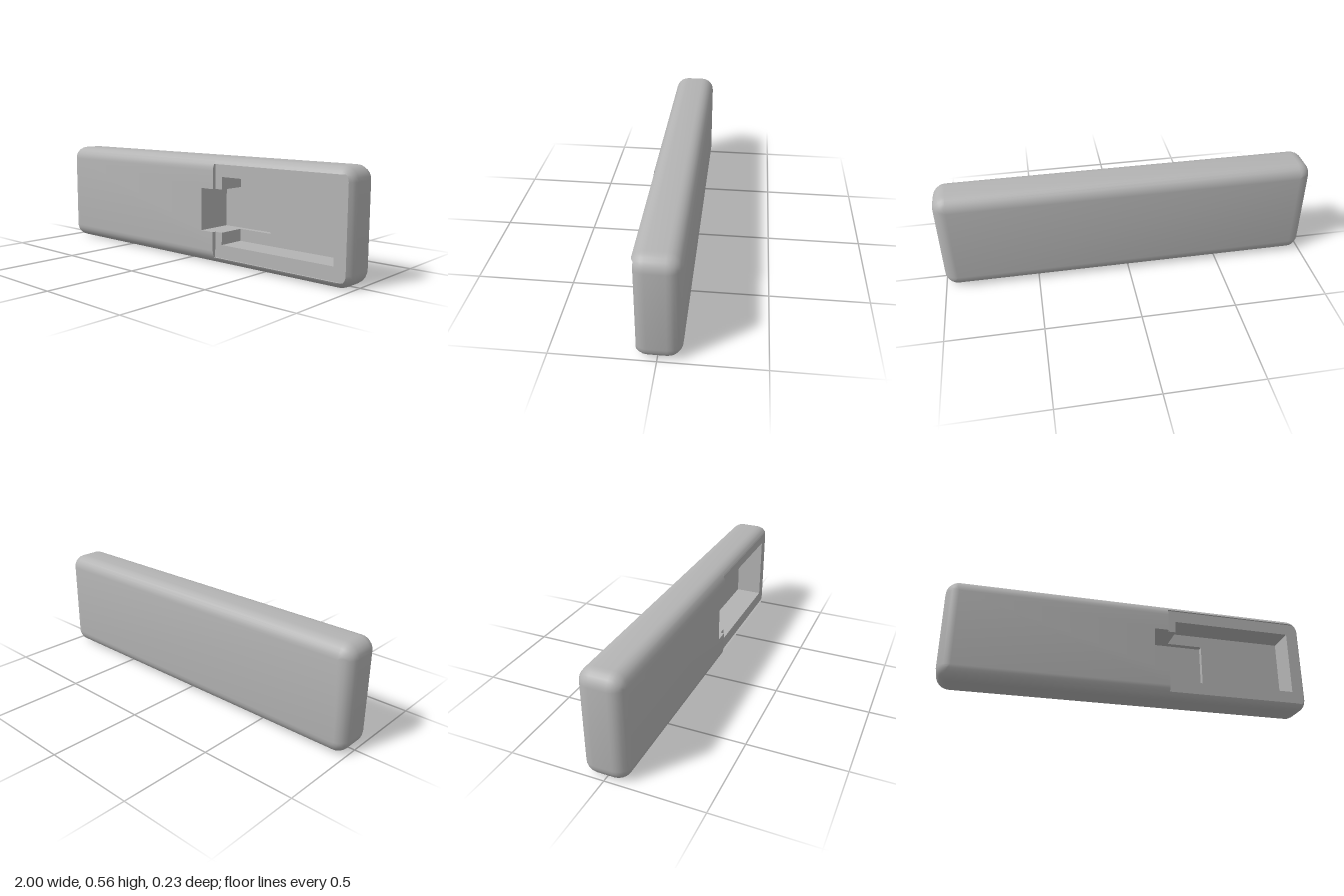
import * as THREE from 'three';
import { mergeGeometries, toCreasedNormals } from 'three/addons/utils/BufferGeometryUtils.js';

// Overall size: 2 x 0.56 x 0.23 with rounded edges
const R = 0.07, CX = 0.93, Y0 = 0.07, Y1 = 0.49, CZ = 0.045;
const STEP_X = 0.2, STEP_Z = 0.095, LIP = 0.035;       // shallow recess at the right end
const POCKET_Z = -0.055, NOTCH_Z = -0.087;             // floors of the two pockets
const T_STEP = Math.asin((STEP_Z - CZ) / R), T_LIP = Math.acos(LIP / R);

// Points of an arc in the xy plane, angles in radians
function arc(cx, cy, r, from, to, n = 6) {
  return Array.from({ length: n + 1 }, (_, i) => {
    const a = from + (to - from) * i / n;
    return [cx + r * Math.cos(a), cy + r * Math.sin(a)];
  });
}

// Join counter-clockwise outlines [points, z] into a wall
function loft(levels) {
  const pos = [];
  for (let k = 0; k < levels.length - 1; k++) {
    const [a, za] = levels[k], [b, zb] = levels[k + 1];
    for (let i = 0; i < a.length; i++) {
      const j = (i + 1) % a.length;
      const p = [...a[i], za], q = [...a[j], za], s = [...b[j], zb], t = [...b[i], zb];
      pos.push(...p, ...q, ...s, ...p, ...s, ...t);
    }
  }
  const g = new THREE.BufferGeometry();
  g.setAttribute('position', new THREE.Float32BufferAttribute(pos, 3));
  return g;
}

// Flat face looking towards +z
function face(points, z) {
  const g = new THREE.ShapeGeometry(new THREE.Shape(points.map(p => new THREE.Vector2(...p))));
  g.translate(0, 0, z);
  const flat = g.toNonIndexed();
  flat.deleteAttribute('uv');
  flat.deleteAttribute('normal');
  return flat;
}

// Levels along the edge rounding, between two angles
function levels(outline, from, to, n) {
  return Array.from({ length: n + 1 }, (_, i) => {
    const t = from + (to - from) * i / n;
    return [outline(R * Math.cos(t)), CZ + R * Math.sin(t)];
  });
}

const rect = (x0, y0, x1, y1) => [[x0, y0], [x1, y0], [x1, y1], [x0, y1]];
const H = Math.PI / 2;

// Full rounded rectangle
const bodyOutline = r => [
  ...arc(CX, Y0, r, -H, 0), ...arc(CX, Y1, r, 0, H),
  ...arc(-CX, Y1, r, H, 2 * H), ...arc(-CX, Y0, r, 2 * H, 3 * H),
];
// Raised left part, with the notch cut into its edge
const raisedOutline = r => [
  [STEP_X, Y0 - r], [STEP_X, 0.17], [0.12, 0.17], [0.12, 0.395], [STEP_X, 0.395], [STEP_X, Y1 + r],
  ...arc(-CX, Y1, r, H, 2 * H), ...arc(-CX, Y0, r, 2 * H, 3 * H),
];
// Thin lip beside the recess
const upperLip = r => [
  [STEP_X, Y1 + LIP],
  ...arc(CX, Y1, r, Math.asin(Math.min(1, LIP / r)), H), [STEP_X, Y1 + r],
];
const lowerLip = r => upperLip(r).map(([x, y]) => [x, Y0 + Y1 - y]).reverse();

function shellGeometry() {
  const back = levels(bodyOutline, -H, 0, 6).map(([p, z]) => [p, z - 2 * CZ]);
  const front = levels(bodyOutline, 0, T_STEP, 3);
  const backFace = face(rect(-CX, Y0, CX, Y1), 0);
  backFace.rotateY(Math.PI).translate(0, 0, -CZ - R);
  const parts = [
    loft([...back, ...front]),
    backFace,
    loft(levels(raisedOutline, T_STEP, H, 3)),
    face(raisedOutline(0).slice(0, 7).concat([[-CX, Y0]]), CZ + R),
    loft(levels(upperLip, T_STEP, T_LIP, 3)),
    loft(levels(lowerLip, T_STEP, T_LIP, 3)),
  ];
  return toCreasedNormals(mergeGeometries(parts), 0.6);
}

// Recessed ledge around the pocket
function ledgeGeometry() {
  const r = R * Math.cos(T_STEP), a = Math.asin(LIP / r);
  return face([
    [STEP_X, Y0 - LIP], ...arc(CX, Y0, r, -a, 0), ...arc(CX, Y1, r, 0, a), [STEP_X, Y1 + LIP],
    [STEP_X, 0.395], [0.245, 0.395], [0.245, 0.46], [0.915, 0.46],
    [0.915, 0.105], [0.245, 0.105], [0.245, 0.17], [STEP_X, 0.17],
  ], STEP_Z);
}

// Pocket walls and its C-shaped floor
function pocketGeometry() {
  const rim = [
    [0.12, 0.17], [0.245, 0.17], [0.245, 0.105], [0.915, 0.105],
    [0.915, 0.46], [0.245, 0.46], [0.245, 0.395], [0.12, 0.395],
  ];
  const floor = [...rim.slice(1, 7), [0.445, 0.395], [0.445, 0.17]];
  return mergeGeometries([loft([[rim, STEP_Z], [rim, POCKET_Z]]), face(floor, POCKET_Z)]);
}

// Deeper notch inside the pocket
function notchGeometry() {
  const r = rect(0.12, 0.17, 0.445, 0.395);
  return mergeGeometries([loft([[r, POCKET_Z], [r, NOTCH_Z]]), face(r, NOTCH_Z)]);
}

export function createModel() {
  const group = new THREE.Group();
  group.name = 'casing';
  const grey = new THREE.MeshStandardMaterial({ color: 0xb4b4b4 });
  grey.name = 'grey';
  const add = (name, geometry) => {
    if (!geometry.attributes.normal) geometry.computeVertexNormals();
    const mesh = new THREE.Mesh(geometry, grey);
    mesh.name = name;
    group.add(mesh);
  };
  add('shell', shellGeometry());
  add('recessLedge', ledgeGeometry());
  add('pocket', pocketGeometry());
  add('notch', notchGeometry());
  return group;
}
